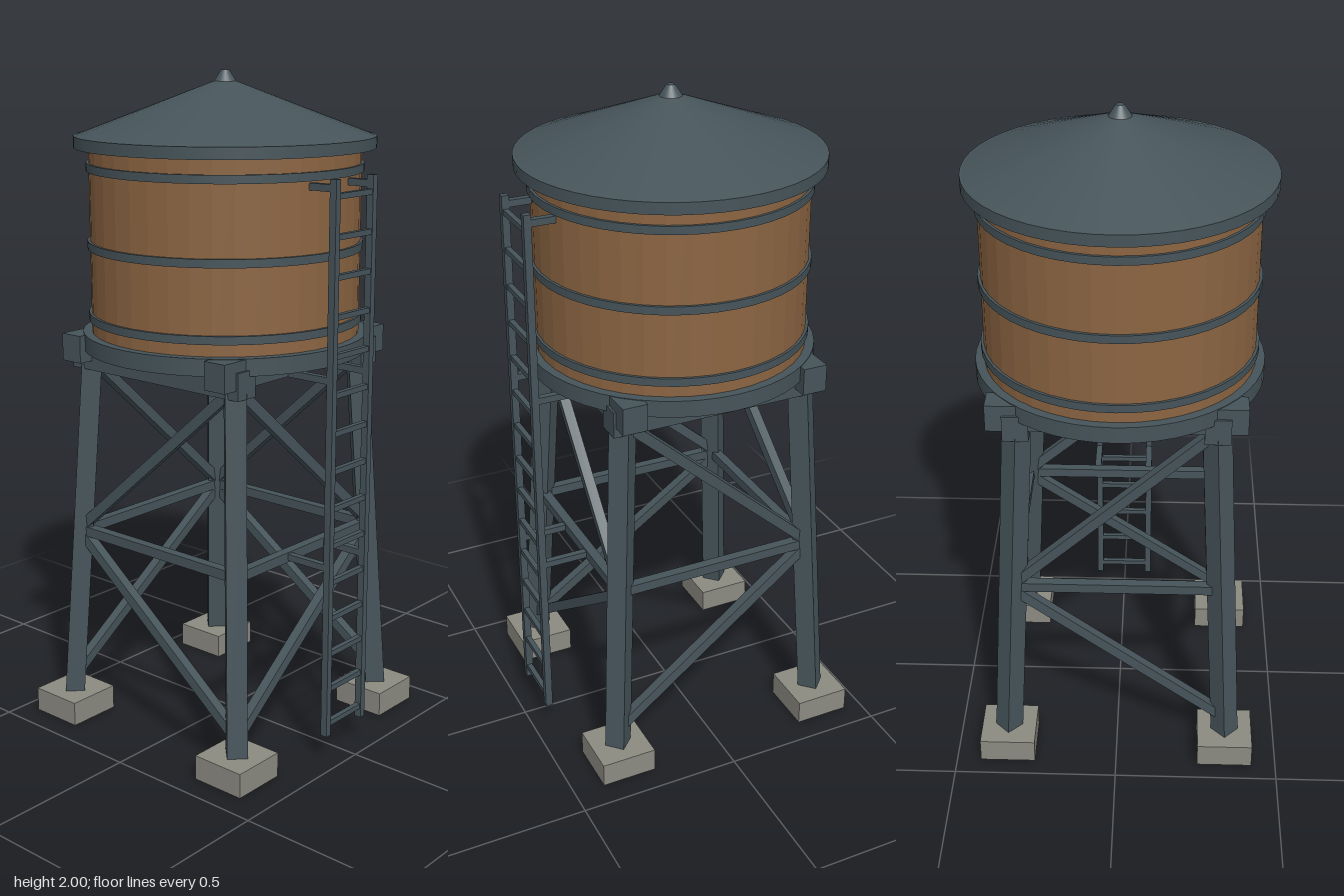
import * as THREE from 'three';

const steel = new THREE.MeshStandardMaterial({ color: 0x46545a });
const wood = new THREE.MeshStandardMaterial({ color: 0x8c6542, flatShading: true });
const concrete = new THREE.MeshStandardMaterial({ color: 0x8c8b82 });

function add(parent, name, geometry, material, x = 0, y = 0, z = 0) {
  const mesh = new THREE.Mesh(geometry, material);
  mesh.name = name;
  mesh.position.set(x, y, z);
  parent.add(mesh);
  return mesh;
}

const box = (parent, name, w, h, d, x, y, z, mat = steel) =>
  add(parent, name, new THREE.BoxGeometry(w, h, d), mat, x, y, z);

// Square bar between two points, optionally rolled about its own axis
function bar(parent, name, a, b, size, roll = 0) {
  const dir = b.clone().sub(a);
  const mesh = box(parent, name, size, dir.length(), size, 0, 0, 0);
  mesh.position.copy(a).add(b).multiplyScalar(0.5);
  mesh.quaternion.setFromUnitVectors(new THREE.Vector3(0, 1, 0), dir.normalize());
  mesh.rotateY(roll);
  return mesh;
}

// Point on the centreline of the leg in corner (sx, sz)
function legPoint(sx, sz, y) {
  const r = 0.34 - (y - 0.075) * 0.0515;
  return new THREE.Vector3(sx * r, y, sz * r);
}

function buildStand() {
  const stand = new THREE.Group();
  stand.name = 'stand';
  for (const sx of [-1, 1]) {
    for (const sz of [-1, 1]) {
      box(stand, 'footing', 0.17, 0.075, 0.17, sx * 0.34, 0.0375, sz * 0.34, concrete);
      bar(stand, 'leg', legPoint(sx, sz, 0.07), legPoint(sx, sz, 1.19), 0.06, Math.PI / 4);
    }
  }
  // Bracing on each face: one tie and two diagonals meeting at mid-height
  const faces = [
    [[-1, 1], [1, 1]], [[-1, -1], [1, -1]],
    [[1, 1], [1, -1]], [[-1, 1], [-1, -1]],
  ];
  for (const [p, q] of faces) {
    bar(stand, 'tie', legPoint(...p, 0.61), legPoint(...q, 0.61), 0.03);
    bar(stand, 'upperBrace', legPoint(...p, 1.15), legPoint(...q, 0.62), 0.031);
    bar(stand, 'lowerBrace', legPoint(...p, 0.13), legPoint(...q, 0.6), 0.031);
  }
  // Crossed beams under the platform
  for (const s of [-1, 1]) {
    box(stand, 'crossBeam', 0.74, 0.082, 0.075, 0, 1.197, s * 0.283);
    box(stand, 'longBeam', 0.075, 0.08, 0.655, s * 0.285, 1.167, 0);
  }
  add(stand, 'platform', new THREE.CylinderGeometry(0.427, 0.427, 0.05, 48), steel, 0, 1.215, 0);
  return stand;
}

function buildTank() {
  const tank = new THREE.Group();
  tank.name = 'tank';
  add(tank, 'barrel', new THREE.CylinderGeometry(0.4, 0.4, 0.56, 40), wood, 0, 1.515, 0);
  for (const y of [1.287, 1.5, 1.727]) {
    add(tank, 'hoop', new THREE.CylinderGeometry(0.408, 0.408, 0.024, 48), steel, 0, y, 0);
  }
  // Roof: flat rim, shallow cone and small finial
  add(tank, 'roofRim', new THREE.CylinderGeometry(0.443, 0.443, 0.034, 48), steel, 0, 1.799, 0);
  add(tank, 'roof', new THREE.CylinderGeometry(0.012, 0.437, 0.16, 48), steel, 0, 1.896, 0);
  add(tank, 'finial', new THREE.CylinderGeometry(0.012, 0.035, 0.035, 24), steel, 0, 1.9825, 0);
  return tank;
}

function buildLadder() {
  const ladder = new THREE.Group();
  ladder.name = 'ladder';
  const z = 0.45;
  // Rails with brackets reaching back to tie, beam and barrel
  for (const s of [-1, 1]) {
    box(ladder, 'rail', 0.02, 1.645, 0.022, s * 0.085, 0.9025, z);
    for (const [y, back] of [[0.61, 0.29], [1.165, 0.29], [1.7, 0.365]]) {
      box(ladder, 'bracket', 0.02, 0.02, z - back, s * 0.085, y, (z + back) / 2);
    }
  }
  for (let i = 0; i < 15; i++) {
    box(ladder, 'rung', 0.17, 0.016, 0.016, 0, 0.117 + i * 0.1115, z);
  }
  return ladder;
}

export function createModel() {
  const model = new THREE.Group();
  model.name = 'waterTower';
  const tower = new THREE.Group();
  tower.name = 'tower';
  tower.position.z = -0.019;
  tower.add(buildStand(), buildTank());
  model.add(tower, buildLadder());
  return model;
}
